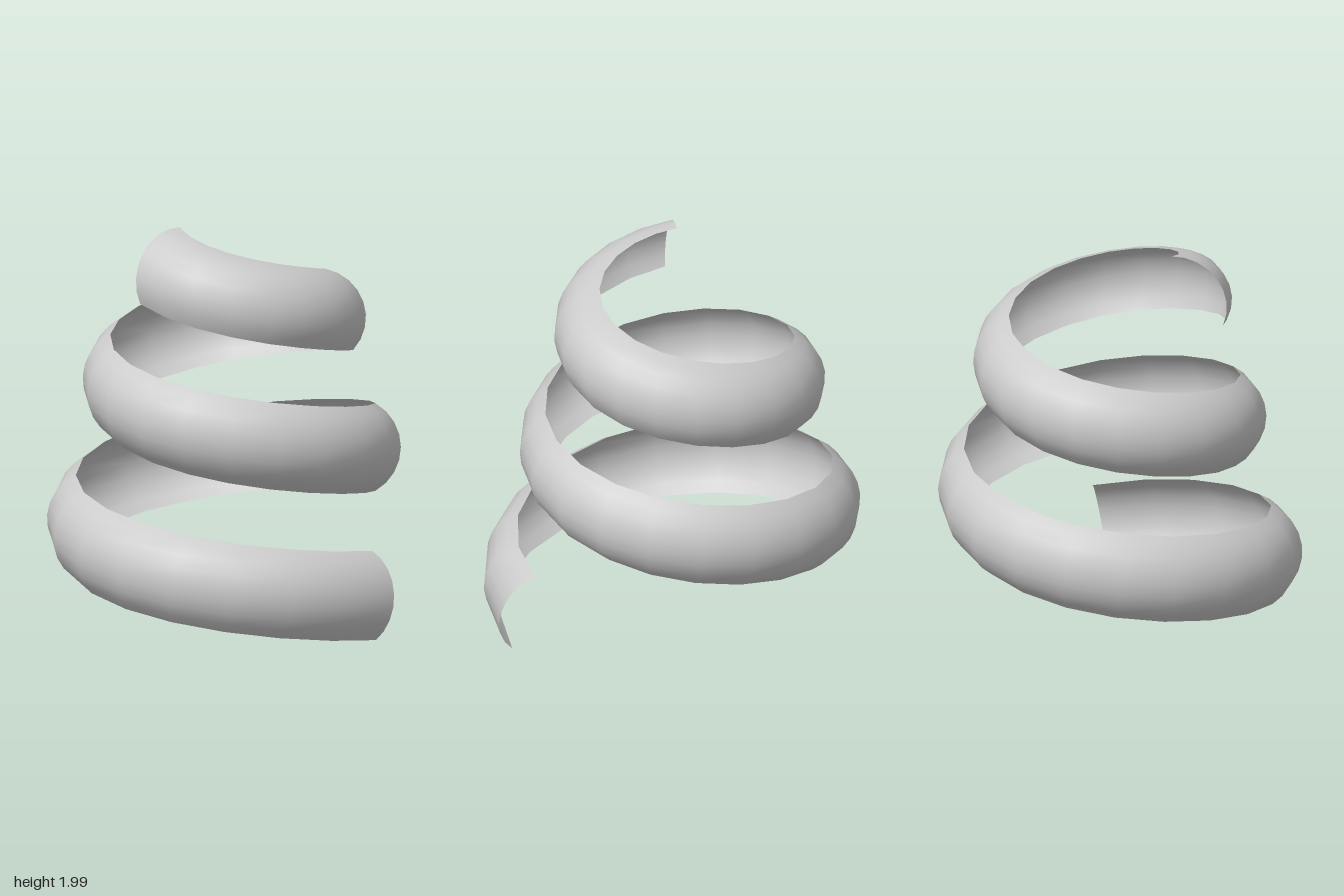
import * as THREE from 'three';

const TURNS = 2.3, STEPS = 46, ARC_STEPS = 8;
const ARC_RADIUS = 0.25, HALF_ARC = Math.PI / 3;
const AXIS_X = -0.0475, AXIS_Z = -0.045;

// Rules along the spiral, t counted in turns
const outerRadius = t => 0.9875 - 0.183 * t + 0.004 * t * t;
const midHeight = t => 0.2175 + 0.717 * t - 0.0085 * t * t;
const roll = t => THREE.MathUtils.degToRad(
  11 * Math.max(0, 1 - t / 0.8) ** 1.3 + 36 * Math.max(0, (t - 1.2) / 1.1) ** 1.5);
const lean = t => THREE.MathUtils.lerp(-0.185, 0.07, t / TURNS);

// Curved ribbon: a 120 degree arc, bulging outwards, swept up a tapering helix
function spiralRibbon() {
  const positions = [], indices = [];
  const row = ARC_STEPS + 1;
  for (let i = 0; i <= STEPS; i++) {
    const t = (i / STEPS) * TURNS;
    const angle = t * Math.PI * 2 - 0.017 * (1 - t / TURNS);
    const tilt = roll(t);
    const centreR = outerRadius(t) - ARC_RADIUS;
    const centreY = midHeight(t) - ARC_RADIUS * Math.cos(HALF_ARC) * Math.sin(tilt);
    for (let j = 0; j <= ARC_STEPS; j++) {
      const a = (j / ARC_STEPS * 2 - 1) * HALF_ARC;
      const r = centreR + ARC_RADIUS * Math.cos(a + tilt);
      const y = centreY + ARC_RADIUS * Math.sin(a + tilt);
      const along = lean(t) * ARC_RADIUS * Math.sin(a);
      positions.push(
        AXIS_X + r * Math.cos(angle) - along * Math.sin(angle),
        y,
        AXIS_Z + r * Math.sin(angle) + along * Math.cos(angle));
      if (i < STEPS && j < ARC_STEPS) {
        const p = i * row + j, q = p + row;
        indices.push(p, p + 1, q, p + 1, q + 1, q);
      }
    }
  }
  const geometry = new THREE.BufferGeometry();
  geometry.setAttribute('position', new THREE.Float32BufferAttribute(positions, 3));
  geometry.setIndex(indices);
  geometry.computeVertexNormals();
  // Stand the lowest corner on the ground
  geometry.computeBoundingBox();
  geometry.translate(0, -geometry.boundingBox.min.y, 0);
  return geometry;
}

export function createModel() {
  const group = new THREE.Group();
  group.name = 'spiral';
  const ribbon = new THREE.Mesh(
    spiralRibbon(),
    new THREE.MeshStandardMaterial({ color: 0xcccccc, side: THREE.DoubleSide }));
  ribbon.name = 'spiralRibbon';
  group.add(ribbon);
  return group;
}
